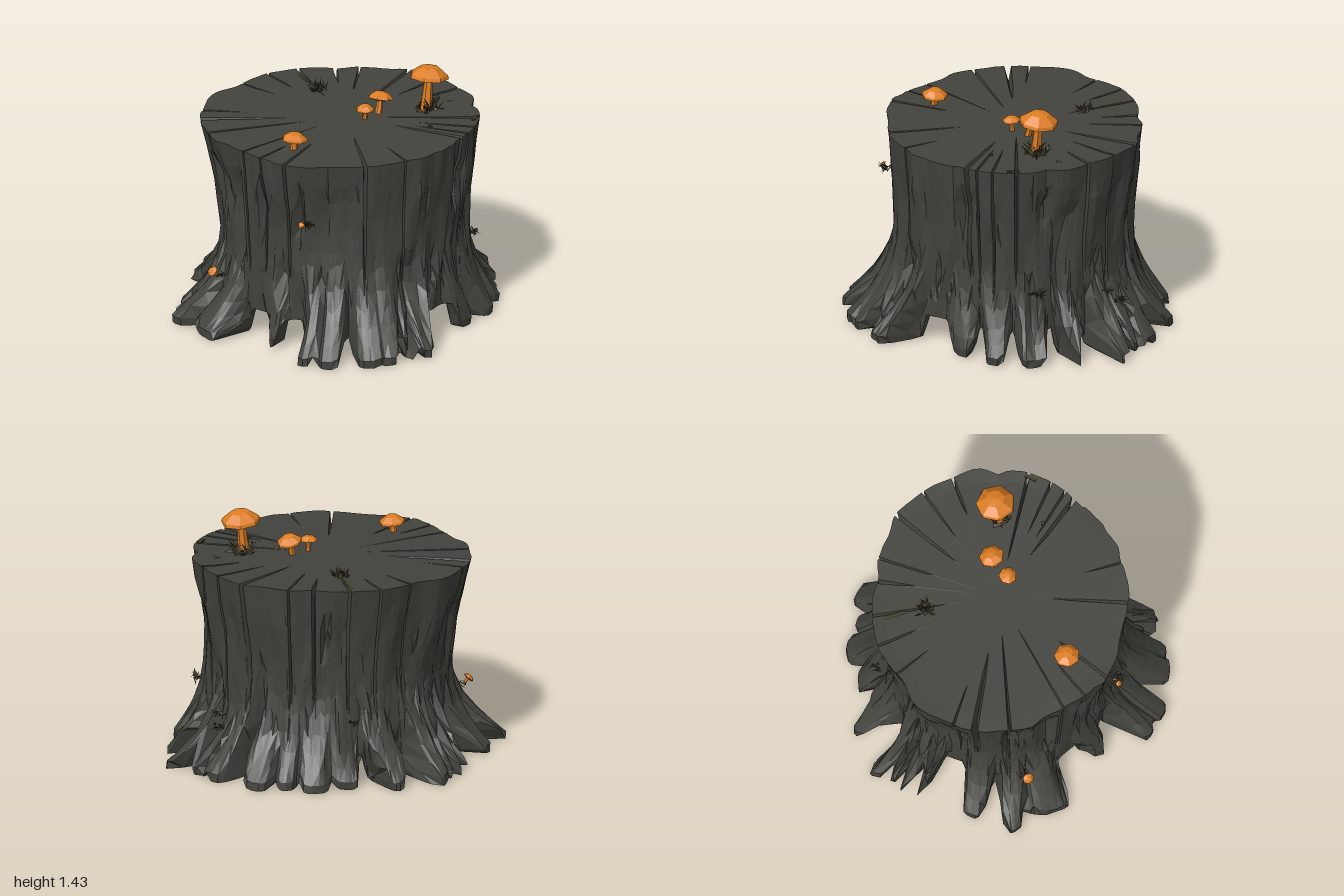
import * as THREE from 'three';
import { mergeGeometries } from 'three/addons/utils/BufferGeometryUtils.js';

const TAU = Math.PI * 2;
const TOP = 1.163;

// seeded random and simple lattice noise
let seed = 7;
const rnd = () => {
  seed = (seed * 16807) % 2147483647;
  return seed / 2147483647;
};
const hash = (i, j) => {
  const s = Math.sin(i * 127.1 + j * 311.7) * 43758.5453;
  return s - Math.floor(s);
};
function noise(theta, y, cells, rows) {
  const u = ((theta / TAU + 2) % 1) * cells, v = y * rows + 5;
  const i = Math.floor(u), j = Math.floor(v), a = u - i, b = v - j;
  const h = (p, q) => hash((p % cells) + cells * 3, q);
  const low = h(i, j) * (1 - a) + h(i + 1, j) * a;
  const high = h(i, j + 1) * (1 - a) + h(i + 1, j + 1) * a;
  return (low * (1 - b) + high * b) * 2 - 1;
}
const angleGap = (a, b) => Math.abs(Math.atan2(Math.sin(a - b), Math.cos(a - b)));

// root tips: x, z, half width in radians
const roots = [
  [-0.3, -0.94, 0.08], [-0.41, -0.85, 0.035], [-0.49, -0.82, 0.04], [-0.57, -0.75, 0.03], [0, -0.93, 0.1],
  [0.23, -0.79, 0.1], [0.42, -0.77, 0.12], [0.55, -0.65, 0.08], [0.71, -0.58, 0.1],
  [0.85, -0.36, 0.1], [0.9, -0.2, 0.075], [1, -0.01, 0.075], [0.9, 0.25, 0.06], [0.76, 0.46, 0.1],
  [0.58, 0.61, 0.09], [0.37, 0.68, 0.09], [-0.05, 0.94, 0.11], [-0.19, 0.86, 0.045],
  [-0.33, 0.89, 0.08], [-0.47, 0.86, 0.1], [-0.67, 0.73, 0.09], [-0.77, 0.61, 0.07],
  [-0.77, 0.28, 0.07], [-0.94, -0.06, 0.12], [-0.99, -0.3, 0.1], [-0.8, -0.5, 0.1],
].map(([x, z, w]) => ({ t: Math.atan2(z, x), r: Math.hypot(x, z), w: w * 1.12 }));

// outline of the cut top: x, z in order of angle
const rim = [
  [0.76, -0.08], [0.74, 0.24], [0.57, 0.51], [0.35, 0.65], [0, 0.74], [-0.32, 0.68], [-0.5, 0.55], [-0.7, 0.38],
  [-0.77, 0.1], [-0.76, -0.32], [-0.7, -0.45], [-0.5, -0.66], [-0.18, -0.74], [0.2, -0.72], [0.3, -0.64],
  [0.54, -0.48], [0.7, -0.32],
].map(([x, z]) => ({ t: Math.atan2(z, x), r: Math.hypot(x, z) }));
function rimRadius(t) {
  let sum = 0, total = 0;
  for (const p of rim) {
    const w = Math.exp(-Math.pow(angleGap(p.t, t) / 0.17, 2));
    sum += w * p.r;
    total += w;
  }
  return sum / total;
}

// cracks in the cut top: x, z at the rim, inner reach as a share of the radius, half width
const cracks = [
  [-0.7, -0.47, 0.55, 0.024], [-0.6, -0.55, 0.75, 0.008], [-0.78, -0.28, 0.4, 0.012], [-0.78, 0.06, 0.3, 0.007],
  [-0.7, 0.36, 0.6, 0.012], [-0.35, 0.68, 0.5, 0.014], [-0.1, 0.72, 0.75, 0.008], [0.33, 0.58, 0.5, 0.02],
  [0.42, 0.6, 0.7, 0.01], [0.5, 0.55, 0.6, 0.01], [0.62, 0.47, 0.3, 0.014], [0.75, 0.05, 0.8, 0.012],
  [0.75, -0.14, 0.65, 0.01], [0.68, -0.33, 0.45, 0.018], [0.5, -0.55, 0.65, 0.01], [0.37, -0.62, 0.75, 0.016],
  [0.18, -0.72, 0.5, 0.012], [-0.2, -0.73, 0.8, 0.008], [0, -0.76, 0.85, 0.01], [-0.75, 0.2, 0.8, 0.008],
].map(([x, z, inner, w]) => ({ t: (Math.atan2(z, x) + TAU) % TAU, inner, w }));

// columns around the trunk: uneven spacing, three columns for each crack
const columns = [];
for (let i = 0; i < 200; i++) {
  const t = ((i + rnd() * 0.7) / 200) * TAU;
  if (cracks.every(c => angleGap(c.t, t) > c.w * 1.25)) columns.push({ t });
}
for (const c of cracks) columns.push({ t: c.t - c.w }, { t: c.t, crack: c }, { t: c.t + c.w });
columns.sort((a, b) => a.t - b.t);

const bodyProfile = [[0, 0.69], [0.3, 0.695], [0.55, 0.7], [0.75, 0.71], [1, 0.745], [1.2, 0.768]];
function bodyRadius(y) {
  let k = 0;
  while (k < bodyProfile.length - 2 && y > bodyProfile[k + 1][0]) k++;
  const [a, b] = [bodyProfile[k], bodyProfile[k + 1]];
  return a[1] + (b[1] - a[1]) * (y - a[0]) / (b[0] - a[0]);
}
function rootAt(t) {
  let reach = 0, lobe = 0;
  for (const r of roots) {
    const l = Math.exp(-Math.pow(angleGap(t, r.t) / r.w, 6));
    reach = Math.max(reach, l * (r.r - 0.69));
    lobe = Math.max(lobe, l);
  }
  return { reach, lobe };
}
const footHeight = t => 0.17 * (1 - rootAt(t).lobe);

// outer radius: waisted body, flared roots, long bark ridges and gouges, crack notches
function barkRadius(col, y) {
  const t = col.t + (0.06 * Math.sin(y * 5 + col.t * 3) + 0.03 * Math.sin(y * 9 + col.t * 7)) * (1 - y / TOP);
  const flare = Math.pow(Math.max(0, 1 - Math.max(0, y - 0.05) / 0.55), 2.2);
  const outline = 1 + (rimRadius(col.t) / 0.765 - 1) * (y / TOP);
  const waist = 0.03 * Math.max(0, -Math.sin(col.t)) * Math.sin(Math.PI * y / TOP);
  const ridges = 0.023 * noise(t, y, 44, 3.1) + 0.017 * noise(t, y, 79, 3.7) + 0.012 * noise(t, y, 15, 2);
  const gouge = 0.11 * Math.max(0, noise(t + 1, y, 53, 2.3) - 0.4);
  const fade = (y > 1 ? 0.5 : 1) * (1 - 0.5 * flare);
  const notch = col.crack ? 0.06 * Math.max(0, Math.min(1, (y - 0.4) / 0.5)) : 0;
  return bodyRadius(y) * outline - waist + (ridges - gouge) * fade + flare * rootAt(t).reach - notch;
}

const flat = g => {
  const out = g.index ? g.toNonIndexed() : g;
  out.computeVertexNormals();
  return out;
};

// closed loft around the trunk: point(column, row) returns [radius, y]
function loft(rows, point) {
  const pos = [], idx = [], n = columns.length;
  for (let j = 0; j < rows; j++) {
    for (const c of columns) {
      const [r, y] = point(c, j);
      pos.push(r * Math.cos(c.t), y, r * Math.sin(c.t));
    }
  }
  for (let j = 0; j < rows - 1; j++) {
    for (let i = 0; i < n; i++) {
      const k = (i + 1) % n, a = j * n + i, b = j * n + k, c = a + n, d = b + n;
      if ((i + j) % 2) idx.push(a, c, d, a, d, b);
      else idx.push(a, c, b, b, c, d);
    }
  }
  const g = new THREE.BufferGeometry();
  g.setAttribute('position', new THREE.Float32BufferAttribute(pos, 3));
  g.setIndex(idx);
  return flat(g);
}

// faceted mushroom: tapered stem and a wide low cap, leaning as a whole
function mushroom(x, y, z, height, radius, leanX, leanZ, material) {
  const group = new THREE.Group();
  group.name = 'mushroom';
  const capH = radius * 0.82, stemH = height - capH * 0.75;
  const stem = new THREE.Mesh(flat(new THREE.CylinderGeometry(radius * 0.2, radius * 0.3, stemH, 6)), material);
  stem.name = 'mushroomStem';
  stem.position.y = stemH / 2;
  const profile = [[0, 0.12], [0.5, 0.06], [1, 0.2], [0.95, 0.38], [0.5, 0.74], [0, 0.82]]
    .map(([r, h]) => new THREE.Vector2(r * radius, h * radius));
  const cap = new THREE.Mesh(flat(new THREE.LatheGeometry(profile, 7)), material);
  cap.name = 'mushroomCap';
  cap.position.y = height - capH;
  group.add(stem, cap);
  group.position.set(x, y, z);
  group.rotation.set(leanX, 0, leanZ);
  return group;
}

// tuft of thin pointed blades fanning out along a direction
function tuft(x, y, z, size, count, out, material) {
  const blades = [];
  for (let i = 0; i < count; i++) {
    const dir = new THREE.Vector3(rnd() - 0.5, rnd() - 0.5, rnd() - 0.5).multiplyScalar(2.2).add(out).normalize();
    const blade = new THREE.ConeGeometry(size * 0.14, size * (0.6 + rnd() * 0.5), 3);
    blade.scale(1, 1, 0.35);
    blade.translate(0, size * 0.3, 0);
    blade.applyQuaternion(new THREE.Quaternion().setFromUnitVectors(new THREE.Vector3(0, 1, 0), dir));
    blade.translate((rnd() - 0.5) * size, (rnd() - 0.5) * size * 0.3, (rnd() - 0.5) * size);
    blades.push(flat(blade));
  }
  const mesh = new THREE.Mesh(mergeGeometries(blades), material);
  mesh.name = 'mossTuft';
  mesh.position.set(x, y, z);
  return mesh;
}

export function createModel() {
  const model = new THREE.Group();
  model.name = 'treeStump';
  const mat = (name, color) => Object.assign(new THREE.MeshStandardMaterial({ color }), { name });
  const bark = mat('darkBark', 0x42433d);
  const orange = mat('mushroomOrange', 0xdd7d22);
  const moss = mat('dryMoss', 0x423b24);
  const add = (name, geometry, material) => {
    const mesh = new THREE.Mesh(geometry, material);
    mesh.name = name;
    model.add(mesh);
    return mesh;
  };

  // bark wall with roots, under a slightly tilted cut
  const levels = [0, 0.04, 0.1, 0.17, 0.25, 0.34, 0.43, 0.52, 0.61, 0.7, 0.79, 0.88, 1];
  const last = levels.length - 1;
  const tilt = t => 0.007 * Math.cos(t) - 0.008 * Math.sin(t);
  const rimY = c => TOP + tilt(c.t) - (c.crack ? 0.06 : 0) + 0.005 * noise(c.t, 0, 20, 1);
  const wallPoint = (c, j) => {
    const foot = footHeight(c.t);
    const shift = j > 3 && j < last ? (hash(c.t * 9, j) - 0.5) * 0.06 : 0;
    const y = foot + (rimY(c) - foot) * (levels[j] + shift);
    return [barkRadius(c, y), y];
  };
  add('barkAndRoots', loft(levels.length, wallPoint), bark);

  // cut top, with radial cracks sinking towards the rim
  const rings = [1, 0.9, 0.75, 0.6, 0.45, 0.3, 0.15, 0];
  add('cutTop', loft(rings.length, (c, j) => {
    const [edge, y] = wallPoint(c, last);
    if (j === 0) return [edge, y];
    const k = rings[j];
    const sink = c.crack && k > c.crack.inner ? 0.06 * (k - c.crack.inner) / (1 - c.crack.inner) + 0.012 : 0;
    return [edge * k, TOP + tilt(c.t) * k - sink - 0.004 * (1 - k)];
  }), bark);

  // hollow underside between the roots
  add('hollowUnderside', loft(5, (c, j) => {
    const [edge, foot] = wallPoint(c, 0);
    const inner = Math.min(0.69, edge - 0.02);
    return [[0, 0.2], [0.4, 0.195], [inner - 0.03, 0.185], [inner, foot], [edge, foot]][j];
  }), bark);

  // mushrooms on the top and on the sides
  model.add(
    mushroom(0.43, 1.15, 0.19, 0.28, 0.115, -0.03, -0.12, orange),
    mushroom(0.185, 1.15, 0.06, 0.14, 0.074, -0.12, -0.25, orange),
    mushroom(0.075, 1.15, 0.085, 0.1, 0.053, 0.05, 0.05, orange),
    mushroom(-0.515, 1.15, 0.2, 0.105, 0.076, 0, -0.1, orange),
    mushroom(-0.79, 0.315, -0.18, 0.055, 0.034, 0, 0.8, orange),
    mushroom(-0.63, 0.78, 0.45, 0.045, 0.02, 0.5, 0.7, orange),
  );

  // moss tufts: x, y, z, size, blade count
  for (const [x, y, z, size, count] of [
    [0.44, 1.17, 0.19, 0.1, 46], [0.1, 1.165, -0.42, 0.075, 30], [0.65, 0.4, 0.33, 0.06, 20],
    [0.72, 0.33, -0.1, 0.06, 20], [0.75, 0.27, -0.17, 0.055, 18], [-0.61, 0.8, 0.47, 0.055, 20],
    [0.15, 0.37, -0.7, 0.045, 14], [-0.77, 0.31, -0.18, 0.045, 8], [0.61, 1.16, 0.17, 0.03, 10],
  ]) {
    const out = y > 1 ? new THREE.Vector3(0, 0.8, 0) : new THREE.Vector3(x, 0.1, z);
    model.add(tuft(x, y, z, size, count, out, moss));
  }

  // loose splinters lying on the cut top
  for (const [x, z, length, turn] of [[0.135, -0.61, 0.16, 0.12], [0.58, 0.46, 0.07, 0.9], [0.3, 0.41, 0.02, 0.4]]) {
    const splinter = add('splinter', new THREE.BoxGeometry(0.02, 0.009, length), moss);
    splinter.position.set(x, 1.167, z);
    splinter.rotation.y = -turn;
  }
  return model;
}
